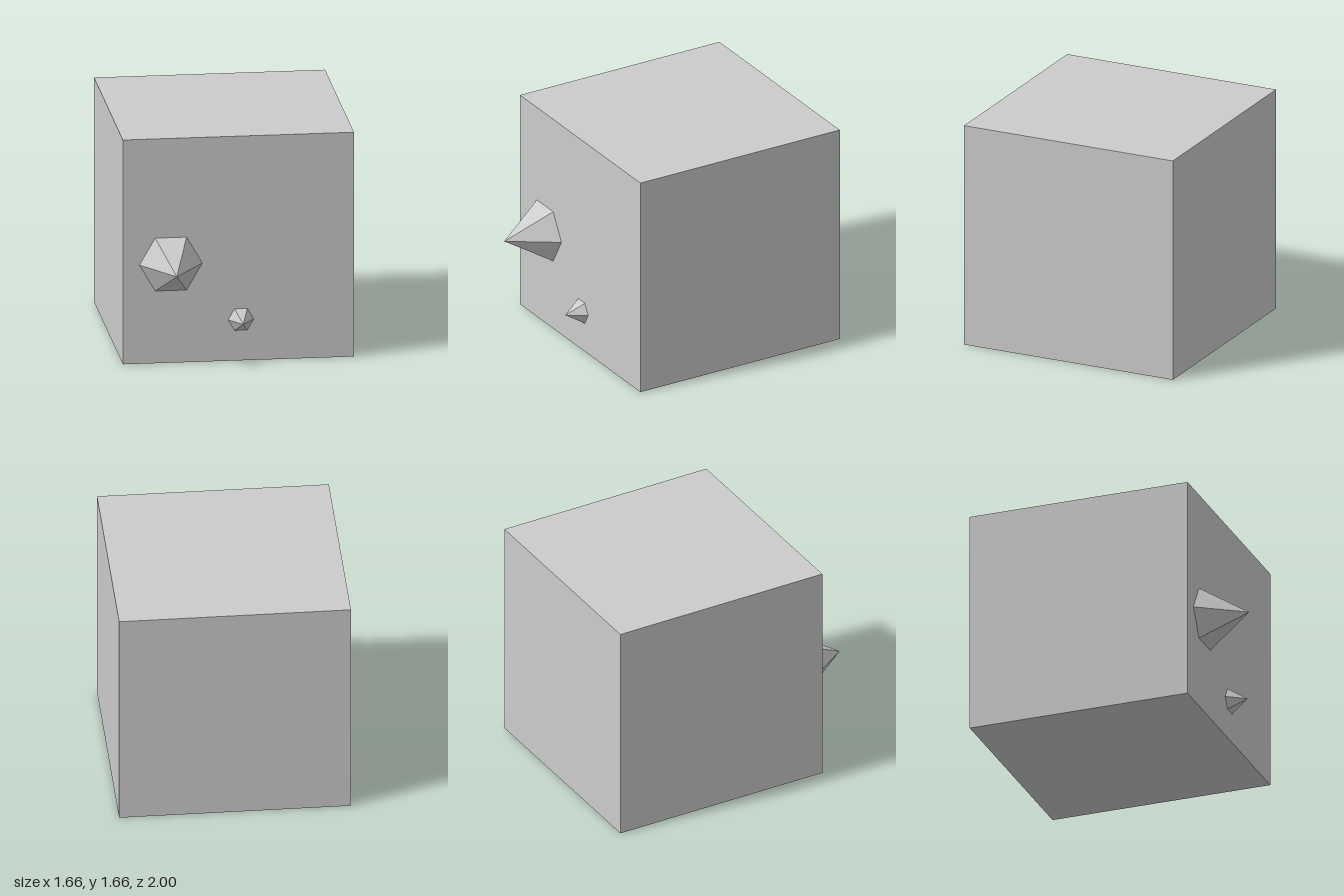
import * as THREE from 'three';

const material = new THREE.MeshStandardMaterial({ color: 0xcccccc, flatShading: true });
const SIZE = 1.66;
const FRONT = 0.66;

// Six-sided spike on the front face, with a corner pointing along +x
function spike(name, x, y, radius, height) {
  const geometry = new THREE.ConeGeometry(radius, height, 6, 1, true, Math.PI / 2);
  geometry.translate(0, height / 2, 0);
  geometry.rotateX(Math.PI / 2);
  const mesh = new THREE.Mesh(geometry, material);
  mesh.name = name;
  mesh.position.set(x, y, FRONT);
  return mesh;
}

export function createModel() {
  const model = new THREE.Group();
  model.name = 'spikedBlock';

  // Plain cube body
  const body = new THREE.Mesh(new THREE.BoxGeometry(SIZE, SIZE, SIZE), material);
  body.name = 'body';
  body.position.set(0, SIZE / 2, FRONT - SIZE / 2);
  model.add(body);

  // Large and small spikes
  model.add(spike('largeSpike', -0.485, 0.73, 0.226, 0.34));
  model.add(spike('smallSpike', 0.018, 0.303, 0.092, 0.135));

  return model;
}
